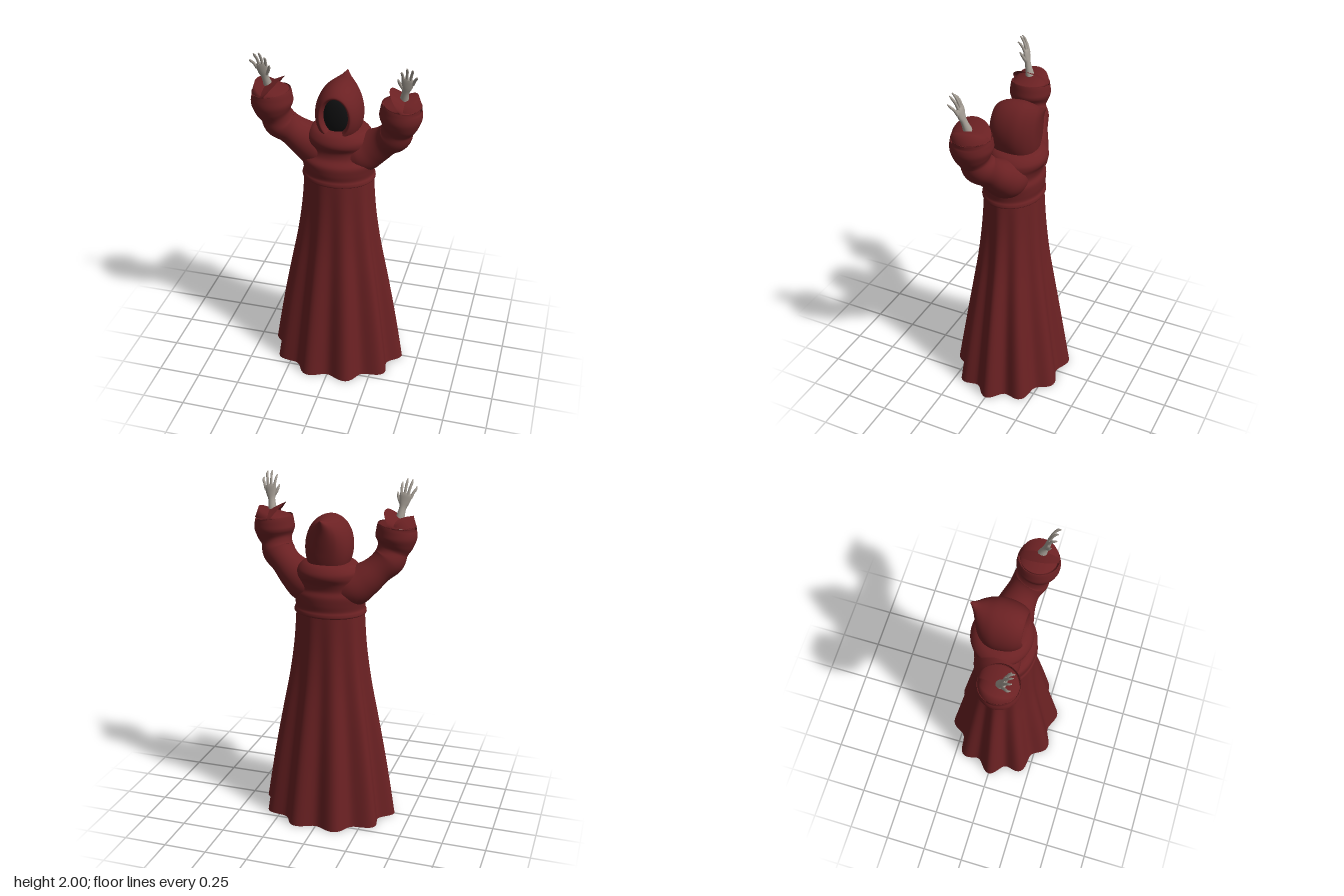
import * as THREE from 'three';

const red = new THREE.MeshStandardMaterial({ color: 0x6b2123, side: THREE.DoubleSide });
red.name = 'robe red';
const bone = new THREE.MeshStandardMaterial({ color: 0xa39c93 });
bone.name = 'pale skin';
const black = new THREE.MeshStandardMaterial({ color: 0x101011 });
black.name = 'shadow black';

// Smooth interpolation through rows of numbers, t in 0..1
function sample(keys, t) {
  const n = keys.length - 1;
  const i = Math.min(Math.floor(t * n), n - 1);
  const f = t * n - i;
  const k = (j) => keys[Math.max(0, Math.min(n, j))];
  return keys[i].map((b, c) => {
    const a = k(i - 1)[c], d = k(i + 1)[c], e = k(i + 2)[c];
    return b + 0.5 * f * (d - a + f * (2 * a - 5 * b + 4 * d - e + f * (3 * (b - d) + e - a)));
  });
}

// Closed-ring surface: point(t, angle) gives each vertex; optional end caps
function loft(rows, cols, point, capStart, capEnd) {
  const pos = [], idx = [];
  for (let i = 0; i <= rows; i++)
    for (let j = 0; j < cols; j++) pos.push(...point(i / rows, (j / cols) * Math.PI * 2));
  for (let i = 0; i < rows; i++)
    for (let j = 0; j < cols; j++) {
      const a = i * cols + j, b = i * cols + ((j + 1) % cols);
      idx.push(a, b, a + cols, b, b + cols, a + cols);
    }
  const cap = (row, flip) => {
    const base = pos.length / 3, c = [0, 0, 0];
    for (let j = 0; j < cols; j++) {
      const p = pos.slice((row * cols + j) * 3, (row * cols + j) * 3 + 3);
      pos.push(...p);
      p.forEach((v, k) => { c[k] += v / cols; });
    }
    pos.push(...c);
    for (let j = 0; j < cols; j++) {
      const a = base + j, b = base + ((j + 1) % cols);
      idx.push(base + cols, flip ? b : a, flip ? a : b);
    }
  };
  if (capStart) cap(0, true);
  if (capEnd) cap(rows, false);
  const g = new THREE.BufferGeometry();
  g.setAttribute('position', new THREE.Float32BufferAttribute(pos, 3));
  g.setIndex(idx);
  g.computeVertexNormals();
  return g;
}

// Tube along a path; keys are [x, y, z, radius across, radius in depth]
function limb(keys, side, rows, cols, capStart, capEnd) {
  const k = keys.map(([x, y, z, r, d = r]) => [x * side, y, z, r, d]);
  const at = (t) => new THREE.Vector3(...sample(k, t).slice(0, 3));
  return loft(rows, cols, (t, a) => {
    const [x, y, z, r, d] = sample(k, t);
    const dir = at(Math.min(1, t + 0.01)).sub(at(Math.max(0, t - 0.01))).normalize();
    const v = new THREE.Vector3(0, 0, 1).addScaledVector(dir, -dir.z).normalize();
    const u = v.clone().cross(dir);
    return new THREE.Vector3(x, y, z)
      .addScaledVector(u, Math.cos(a) * r).addScaledVector(v, Math.sin(a) * d).toArray();
  }, capStart, capEnd);
}

function add(parent, name, geometry, material) {
  const m = new THREE.Mesh(geometry, material);
  m.name = name;
  parent.add(m);
  return m;
}

function createArm(side) {
  const arm = new THREE.Group();
  arm.name = side > 0 ? 'leftArm' : 'rightArm';

  // Gathered sleeve with a flared cuff
  add(arm, 'sleeve', limb([
    [0.06, 1.38, -0.01, 0.10, 0.12], [0.14, 1.41, -0.01, 0.115, 0.125], [0.21, 1.455, 0, 0.098, 0.105],
    [0.275, 1.51, 0.02, 0.084, 0.09], [0.325, 1.56, 0.045, 0.092, 0.098], [0.342, 1.61, 0.06, 0.088, 0.088],
    [0.353, 1.65, 0.068, 0.104, 0.105], [0.358, 1.69, 0.071, 0.116, 0.117], [0.36, 1.73, 0.071, 0.112, 0.114],
    [0.363, 1.752, 0.071, 0.108, 0.11],
  ], side, 54, 40), red);
  add(arm, 'sleeveLining', limb([
    [0.363, 1.752, 0.071, 0.108, 0.11], [0.3625, 1.75, 0.071, 0.097, 0.099], [0.358, 1.70, 0.07, 0.1],
    [0.347, 1.64, 0.065, 0.08], [0.338, 1.6, 0.058, 0.04],
  ], side, 20, 40, false, true), red);

  // Forearm running into a flat palm
  const hand = new THREE.Group();
  hand.name = 'hand';
  arm.add(hand);
  add(hand, 'forearmAndPalm', limb([
    [0.342, 1.6, 0.055, 0.034], [0.358, 1.70, 0.063, 0.031], [0.372, 1.78, 0.08, 0.026],
    [0.383, 1.84, 0.098, 0.02, 0.017], [0.39, 1.875, 0.107, 0.029, 0.015], [0.396, 1.91, 0.113, 0.034, 0.012],
    [0.399, 1.925, 0.117, 0.026, 0.008],
  ], side, 30, 16, true, true), bone);

  // Four curled fingers: knuckle x, tip x, tip height
  [[0.372, 0.368, 1.975], [0.39, 0.396, 1.998], [0.408, 0.424, 1.993], [0.423, 0.447, 1.955]]
    .forEach(([x0, x1, top], i) => {
      const y0 = i === 3 ? 1.895 : 1.91, mid = (x0 + x1) / 2;
      add(hand, 'finger', limb([
        [x0, y0, 0.111, 0.0085], [mid, y0 + (top - y0) * 0.5, 0.124, 0.0075],
        [x1, y0 + (top - y0) * 0.82, 0.139, 0.0065], [x1, top, 0.155, 0.003],
      ], side, 12, 8, true, true), bone);
    });
  add(hand, 'thumb', limb([
    [0.377, 1.86, 0.105, 0.011], [0.36, 1.885, 0.113, 0.009], [0.351, 1.908, 0.123, 0.0075],
    [0.347, 1.925, 0.133, 0.003],
  ], side, 10, 8, true, true), bone);
  return arm;
}

export function createModel() {
  const model = new THREE.Group();
  model.name = 'robedFigure';

  // Long skirt with ten folds fading toward the waist: [y, rx, rz, fold]
  const skirt = [
    [0, 0.375, 0.316, 0.08], [0.21, 0.344, 0.284, 0.078], [0.42, 0.311, 0.253, 0.072], [0.63, 0.275, 0.222, 0.062],
    [0.84, 0.238, 0.193, 0.048], [1.05, 0.212, 0.174, 0.03], [1.26, 0.199, 0.163, 0.012],
  ];
  add(model, 'skirt', loft(40, 120, (t, a) => {
    const [y, rx, rz, fold] = sample(skirt, t);
    const f = 1 + fold * Math.cos(10 * a);
    return [-Math.cos(a) * rx * f, y, Math.sin(a) * rz * f];
  }, true, true), red);

  // Upper robe and draped cowl: [y, rx, rz, z offset]
  const torso = [
    [1.245, 0.199, 0.163, 0], [1.252, 0.209, 0.173, 0], [1.268, 0.207, 0.172, 0], [1.285, 0.201, 0.166, 0],
    [1.32, 0.205, 0.17, 0], [1.365, 0.213, 0.168, -0.002], [1.4, 0.2, 0.146, -0.012], [1.44, 0.188, 0.148, -0.02],
    [1.475, 0.186, 0.168, -0.02], [1.505, 0.182, 0.168, -0.02], [1.535, 0.158, 0.148, -0.018],
    [1.55, 0.125, 0.12, -0.015], [1.555, 0.08, 0.08, -0.01],
  ];
  add(model, 'upperRobe', loft(60, 64, (t, a) => {
    const [y, rx, rz, cz] = sample(torso, t);
    return [-Math.cos(a) * rx, y, cz + Math.sin(a) * rz];
  }, false, true), red);

  // Hood from the inner lip back to the pointed tip: [z, centre y, rx, ry]
  const hood = [
    [0.06, 1.64, 0.068, 0.1], [0.09, 1.64, 0.073, 0.107], [0.107, 1.64, 0.086, 0.12], [0.095, 1.639, 0.102, 0.138],
    [0.06, 1.634, 0.12, 0.163], [0.01, 1.63, 0.13, 0.179], [-0.05, 1.627, 0.13, 0.184], [-0.1, 1.632, 0.112, 0.172],
    [-0.135, 1.662, 0.082, 0.138], [-0.153, 1.718, 0.05, 0.082], [-0.168, 1.77, 0.024, 0.033],
    [-0.187, 1.803, 0.004, 0.004],
  ];
  add(model, 'hood', loft(60, 48, (t, a) => {
    const [z, cy, rx, ry] = sample(hood, t);
    return [-Math.cos(a) * rx, cy + Math.sin(a) * ry, z];
  }, false, true), red);

  // Dark void in the hood opening
  const face = add(model, 'faceVoid', new THREE.SphereGeometry(1, 32, 20), black);
  face.scale.set(0.072, 0.105, 0.03);
  face.position.set(0, 1.64, 0.062);

  for (const side of [1, -1]) model.add(createArm(side));
  return model;
}
